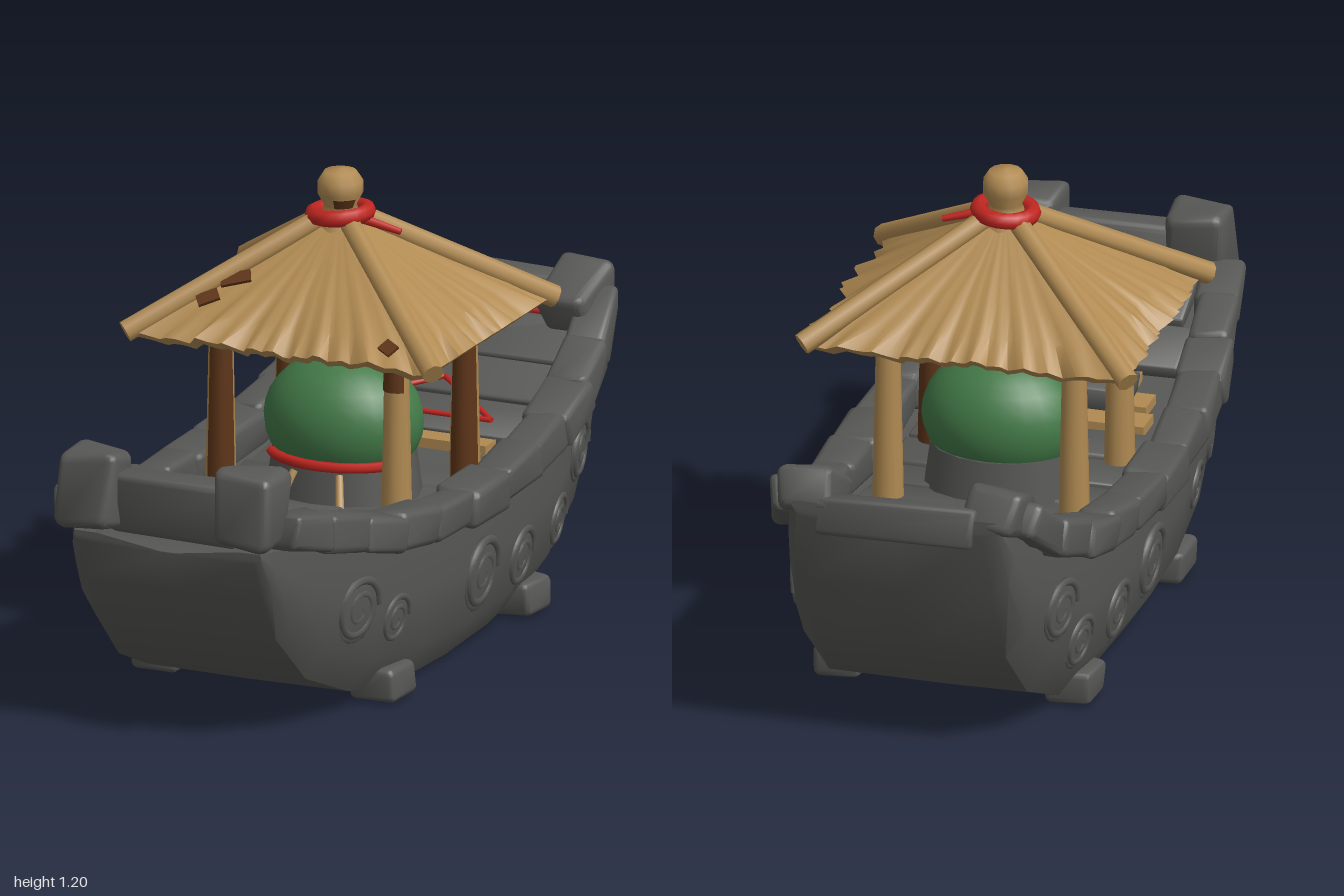
import * as THREE from 'three';
import { toCreasedNormals } from 'three/addons/utils/BufferGeometryUtils.js';
import { RoundedBoxGeometry } from 'three/addons/geometries/RoundedBoxGeometry.js';

const mat = (name, color, side = THREE.FrontSide) => {
  const m = new THREE.MeshStandardMaterial({ color, side });
  m.name = name;
  return m;
};

// Hull stations: z, keel y, rim y, keel half width, rim half width
const STATIONS = [
  [-0.985, 0.64, 0.68, 0.22, 0.26], [-0.93, 0.45, 0.64, 0.23, 0.285], [-0.85, 0.27, 0.57, 0.24, 0.305],
  [-0.7, 0.12, 0.49, 0.25, 0.335], [-0.5, 0.03, 0.42, 0.27, 0.36], [-0.25, 0.015, 0.385, 0.29, 0.372],
  [0, 0.01, 0.37, 0.295, 0.376], [0.25, 0.015, 0.385, 0.29, 0.37], [0.5, 0.055, 0.42, 0.27, 0.352],
  [0.7, 0.14, 0.48, 0.25, 0.32], [0.85, 0.28, 0.52, 0.24, 0.29], [0.92, 0.4, 0.525, 0.235, 0.27],
  [0.955, 0.5, 0.525, 0.23, 0.25],
];
const station = (z) => {
  let i = 0;
  while (i < STATIONS.length - 2 && STATIONS[i + 1][0] < z) i++;
  const a = STATIONS[i], b = STATIONS[i + 1], t = (z - a[0]) / (b[0] - a[0]);
  return a.map((v, k) => v + (b[k] - v) * t);
};
// Side shape as [height fraction, blend from keel width to rim width]
const SIDE = [[1, 0.92], [0.65, 1], [0.25, 0.75], [0, 0]];
const sideX = (z, y) => {
  const [, ky, ry, kw, rw] = station(z), f = (y - ky) / (ry - ky);
  for (let i = 0; i < 3; i++) {
    const [f1, w1] = SIDE[i], [f0, w0] = SIDE[i + 1];
    if (f >= f0) return kw + (rw - kw) * (w0 + (w1 - w0) * (f - f0) / (f1 - f0));
  }
  return kw;
};

// Skin closed rings of points, optionally capping both ends from vertex "hub"
function loft(rings, hub = -1) {
  const n = rings[0].length, idx = [];
  for (let j = 0; j < rings.length - 1; j++) for (let i = 0; i < n; i++) {
    const a = j * n + i, b = j * n + (i + 1) % n;
    idx.push(a, b, b + n, a, b + n, a + n);
  }
  if (hub >= 0) for (let i = 0; i < n; i++) {
    const k = (i + 1) % n, e = (rings.length - 1) * n;
    if (i === hub || k === hub) continue;
    idx.push(hub, k, i, e + hub, e + i, e + k);
  }
  const g = new THREE.BufferGeometry();
  g.setAttribute('position', new THREE.Float32BufferAttribute(rings.flat(2), 3));
  g.setIndex(idx);
  g.computeVertexNormals();
  return g;
}

// Worn stone block: rounded box warped by smooth waves
function rock(w, h, d, seed = 0, amount = 0.012) {
  const g = new RoundedBoxGeometry(w, h, d, 2, Math.min(w, h, d) * 0.2);
  const p = g.attributes.position;
  for (let i = 0; i < p.count; i++) {
    const x = p.getX(i), y = p.getY(i), z = p.getZ(i);
    p.setXYZ(i, x + amount * Math.sin(31 * y + 17 * z + seed), y + amount * Math.sin(23 * x + 29 * z + seed * 2.1),
      z + amount * Math.sin(27 * x + 19 * y + seed * 3.3));
  }
  return toCreasedNormals(g, 0.7);
}

export function createModel() {
  const model = new THREE.Group();
  const stone = mat('grey stone', 0x575755), straw = mat('straw tan', 0xb08a52);
  const thatch = mat('thatch tan', 0xb08a52, THREE.DoubleSide);
  const wood = mat('dark brown wood', 0x5e3518, THREE.DoubleSide);
  const green = mat('green', 0x437a48), red = mat('red cord', 0xc02620);
  const add = (name, geo, m, x = 0, y = 0, z = 0, rx = 0, ry = 0, rz = 0) => {
    const mesh = new THREE.Mesh(geo, m);
    mesh.name = name;
    mesh.position.set(x, y, z);
    mesh.rotation.set(rx, ry, rz);
    model.add(mesh);
    return mesh;
  };
  // Round bar between two points
  const bar = (name, a, b, r0, r1, m) => {
    const p = new THREE.Vector3(...a), q = new THREE.Vector3(...b), dir = q.clone().sub(p);
    const mesh = add(name, new THREE.CylinderGeometry(r1, r0, dir.length(), 8), m);
    mesh.position.copy(p).add(q).multiplyScalar(0.5);
    mesh.quaternion.setFromUnitVectors(new THREE.Vector3(0, 1, 0), dir.normalize());
  };

  // Hull with a shallow well
  const rings = STATIONS.map(([z, ky, ry, kw, rw]) => {
    const right = SIDE.map(([f, w]) => [kw + (rw - kw) * w, ky + (ry - ky) * f, z]).reverse();
    right.push([rw - 0.06, ry, z], [rw - 0.07, ry - 0.025, z]);
    const left = right.map(([x, y]) => [-x, y, z]).reverse();
    return [...left, [0, ky - 0.003, z], ...right];
  });
  add('hull', toCreasedNormals(loft(rings, 6), 0.6), stone);

  // Rim stones, carved swirls, feet and corner blocks on both sides
  const rimZ = [-0.9, -0.76, -0.62, -0.46, -0.29, -0.1, 0.09, 0.28, 0.45, 0.6, 0.75, 0.89];
  const swirls = [[0.58, 0.29, 0.085], [0.4, 0.22, 0.065], [-0.05, 0.21, 0.095], [-0.3, 0.18, 0.08],
    [-0.55, 0.2, 0.07], [-0.69, 0.34, 0.08]];
  for (const s of [-1, 1]) {
    for (let i = 0; i < rimZ.length - 1; i++) {
      const [a, b] = [rimZ[i], rimZ[i + 1]].map((z) => {
        const t = station(z);
        return new THREE.Vector3(s * (t[4] - 0.005), t[2] + 0.045, z);
      });
      const g = rock(0.1 + 0.01 * (i % 3), 0.09 + 0.008 * (i % 2), a.distanceTo(b) + 0.02, i + s, 0.005);
      const mesh = add('rimStone', g, stone);
      mesh.position.copy(a).add(b).multiplyScalar(0.5);
      mesh.lookAt(b);
    }
    for (const [z, y, r] of swirls) {
      const x = sideX(z, y) - 0.004, yaw = Math.atan2(sideX(z - 0.05, y) - sideX(z + 0.05, y), 0.1);
      const tilt = Math.atan2(sideX(z, y + 0.05) - sideX(z, y - 0.05), 0.1);
      const swirl = new THREE.Group();
      swirl.name = 'carvedSwirl';
      const pts = Array.from({ length: 28 }, (_, k) => {
        const a = k * 0.5, q = r * (1 - k / 31);
        return new THREE.Vector3(Math.cos(a) * q, Math.sin(a) * q, 0.003);
      });
      const coil = new THREE.TubeGeometry(new THREE.CatmullRomCurve3(pts), 60, r * 0.13, 5);
      const boss = new THREE.SphereGeometry(r, 12, 8).scale(1, 1, 0.13);
      swirl.add(new THREE.Mesh(coil, stone), new THREE.Mesh(boss, stone));
      swirl.position.set(s * x, y, z);
      swirl.rotation.set(tilt, s * (Math.PI / 2 - yaw), 0, 'YXZ');
      model.add(swirl);
    }
    for (const z of [0.35, -0.43]) add('foot', rock(0.12, 0.085, 0.13, z * 9, 0.004), stone, s * 0.292, 0.047, z);
    add('bowBlock', rock(0.15, 0.19, 0.13, s, 0.008), stone, s * 0.213, 0.632, 0.925, -0.1);
    add('sternBlock', rock(0.14, 0.11, 0.18, s * 2, 0.008), stone, s * 0.235, 0.668, -0.885, 0.45);
  }
  add('transom', rock(0.4, 0.1, 0.07, 3, 0.006), stone, 0, 0.645, -0.955, 0.1);
  add('bowBoard', rock(0.34, 0.16, 0.08, 5, 0.006), stone, 0, 0.598, 0.9, 0.12);

  // Deck boards follow the sheer of the hull, climbing to the bow board
  for (const z of [-0.84, -0.7, -0.55, -0.22, -0.08, 0.07, 0.22]) {
    const t = station(z), slope = Math.atan2(station(z + 0.07)[2] - station(z - 0.07)[2], 0.14);
    add('deckBoard', rock(2 * (t[4] - 0.07), 0.035, 0.142, z * 20, 0.004), stone, 0, t[2] - 0.012, z, -slope);
  }
  add('bowDeckBoard', rock(0.52, 0.04, 0.15, 1, 0.004), stone, 0, 0.462, 0.635, -0.42);
  add('bowDeckBoard', rock(0.46, 0.04, 0.16, 4, 0.004), stone, 0, 0.535, 0.775, -0.5);
  for (const [z, w, d] of [[-0.425, 0.44, 0.06], [0.34, 0.5, 0.085], [0.43, 0.46, 0.085], [0.52, 0.34, 0.085]])
    add('strawPlank', new THREE.BoxGeometry(w, 0.025, d), straw, 0, station(z)[2] - 0.005, z);
  add('bench', rock(0.38, 0.06, 0.115, 2, 0.006), stone, 0, 0.44, 0.415);

  // Green dome, broader across the boat, on a stone plinth with a red cord in front
  add('plinth', new THREE.CylinderGeometry(0.15, 0.165, 0.13, 16).scale(1.2, 1, 1), stone, 0, 0.425, -0.06);
  add('greenDome', new THREE.SphereGeometry(0.165, 24, 16).scale(1.22, 1, 1), green, 0, 0.56, -0.055);
  const domeCord = new THREE.TorusGeometry(0.15, 0.013, 6, 20, 2).rotateZ(Math.PI / 2 - 1).scale(1.2, 1, 1);
  add('domeCord', domeCord, red, 0, 0.478, -0.05, Math.PI / 2);
  for (const s of [-1, 1]) bar('strawPeg', [s * 0.09, 0.36, 0.16], [s * 0.06, 0.46, 0.1], 0.012, 0.01, straw);

  // Posts: straw bark with a strip of bare wood, given by its heading
  const cz = -0.035, strip = 2.2;
  for (const [x, z, heading] of [[0.235, 0.145, 2.9], [-0.235, 0.145, 0.45], [0.235, -0.245, 0.35], [-0.235, -0.245, 0.4]]) {
    const start = heading - strip / 2;
    add('postBark', new THREE.CylinderGeometry(0.029, 0.039, 0.48, 8, 1, true, start + strip, Math.PI * 2 - strip),
      straw, x, 0.6, z);
    add('postWood', new THREE.CylinderGeometry(0.029, 0.039, 0.48, 5, 1, true, start, strip), wood, x, 0.6, z);
  }
  add('postWoodTop', new THREE.CylinderGeometry(0.0305, 0.0335, 0.12, 5, 1, true, -1.2, 2.2), wood, 0.235, 0.775, 0.145);

  // Pleated square thatch: outer slope, ragged edge, then the underside
  const N = 144;
  const slope = [[0.1, 1.07, 0], [0.35, 1.0, 0.1], [0.6, 0.935, 0.2], [0.83, 0.875, 0.45], [1, 0.822, 1],
    [0.95, 0.804, 0.9], [0.8, 0.835, 0], [0.2, 1.015, 0]];
  const roofRings = slope.map(([t, y, ragged]) => Array.from({ length: N }, (_, i) => {
    const a = i / N * Math.PI * 2, c = Math.cos(a), s = Math.sin(a), k = 1 / Math.max(Math.abs(c), Math.abs(s));
    const rag = (Math.sin(i * 1.9) + 0.8 * Math.sin(i * 0.83 + 1) + 0.6 * Math.sin(i * 0.31)) * ragged;
    const out = t + 0.026 * rag * ragged;
    return [c * k * 0.4 * out, y + 0.008 * rag, cz + s * k * 0.345 * out];
  }));
  add('thatchRoof', toCreasedNormals(loft(roofRings), 1.1), thatch);

  // Dark lining under the front slope and bare wooden patches on top of it
  const pitch = -Math.atan2(0.345, 0.25);
  const panel = new THREE.Shape([[-0.3, 0], [0.3, 0], [0.06, 0.32], [-0.06, 0.32]].map((p) => new THREE.Vector2(...p)));
  add('roofLining', new THREE.ShapeGeometry(panel), wood, 0, 0.79, 0.225, pitch);
  for (const [x, y, w, turn] of [[-0.185, 0.945, 0.075, 0.4], [-0.235, 0.905, 0.055, 0.6], [0.275, 0.86, 0.04, -0.5]]) {
    const z = cz + (1.097 - y) * 0.345 / 0.262;
    add('barePatch', new THREE.BoxGeometry(w, 0.035, 0.008).rotateZ(turn), wood, x, y + 0.004, z + 0.003, pitch);
  }

  // Ridge poles, finial and cord knot
  for (const sx of [-1, 1]) for (const sz of [-1, 1])
    bar('ridgePole', [sx * 0.412, 0.825, cz + sz * 0.35], [sx * 0.04, 1.072, cz + sz * 0.035], 0.028, 0.026, straw);
  const profile = [[0.065, 1.04], [0.045, 1.09], [0.04, 1.105], [0.056, 1.135], [0.056, 1.165], [0.04, 1.19], [0, 1.197]];
  add('finial', new THREE.LatheGeometry(profile.map((p) => new THREE.Vector2(...p)), 12), straw, 0, 0, cz);
  add('finialShard', new THREE.CylinderGeometry(0.054, 0.043, 0.024, 4, 1, true, 0.1, 1.1), wood, 0, 1.116, cz);
  add('finialCord', new THREE.TorusGeometry(0.066, 0.021, 8, 20), red, 0, 1.085, cz, Math.PI / 2, 0.08);
  bar('cordTail', [0.06, 1.075, cz], [0.155, 1.05, cz - 0.015], 0.012, 0.008, red);

  // Red lines across the stern
  const lines = [[[-0.2, 0.46, -0.47], [0.2, 0.46, -0.47]], [[-0.2, 0.46, -0.47], [0, 0.5, -0.635]],
    [[0.2, 0.46, -0.47], [0, 0.5, -0.635]], [[-0.19, 0.625, -0.845], [0.19, 0.625, -0.845]]];
  for (const [a, b] of lines) bar('sternLine', a, b, 0.007, 0.007, red);
  return model;
}
